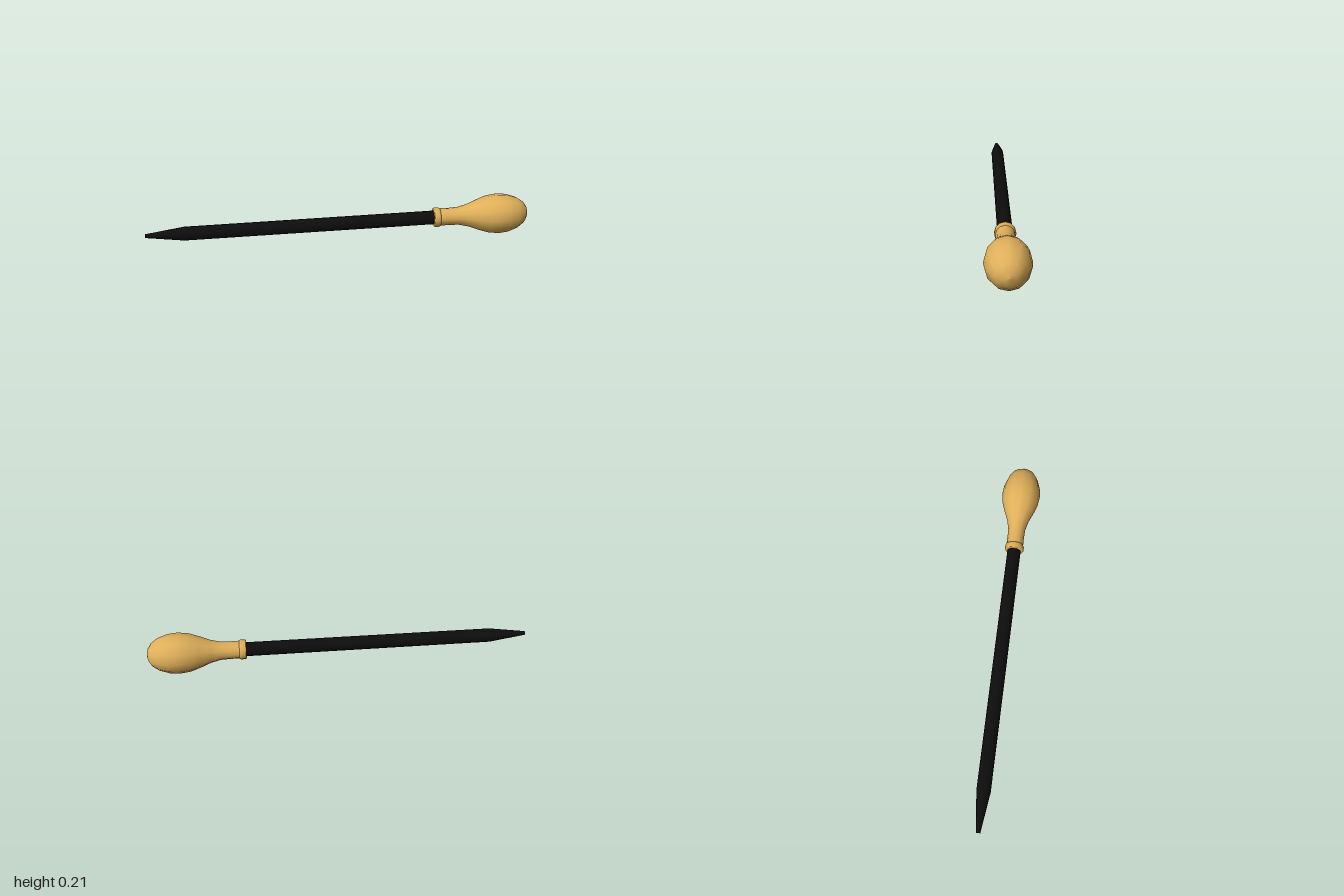
import * as THREE from 'three';

const SIDES = 12;

// Turned part: profile points are [distance along the tool, radius]
function turned(name, profile, color) {
  const points = profile.map(([along, radius]) => new THREE.Vector2(radius, along));
  const mesh = new THREE.Mesh(
    new THREE.LatheGeometry(points, SIDES),
    new THREE.MeshStandardMaterial({ color })
  );
  mesh.name = name;
  return mesh;
}

export function createModel() {
  const tool = new THREE.Group();
  tool.name = 'awl';

  // Dark rod tapering to a small blunt tip
  const shaft = turned('shaft', [
    [-1, 0], [-1, 0.01], [-0.8, 0.036], [-0.8, 0.036], [0.52, 0.036]
  ], 0x0d0d0d);

  // Collar ring where the shaft enters the handle
  const collar = turned('collar', [
    [0.5, 0], [0.5, 0.047], [0.505, 0.051], [0.528, 0.051], [0.537, 0.045], [0.537, 0]
  ], 0xe0b05a);

  // Pear-shaped wooden grip
  const handle = turned('handle', [
    [0.53, 0.046], [0.58, 0.045], [0.63, 0.047], [0.68, 0.059], [0.735, 0.081],
    [0.785, 0.098], [0.84, 0.105], [0.89, 0.1], [0.94, 0.083], [0.975, 0.058],
    [0.992, 0.03], [0.998, 0]
  ], 0xe0b05a);

  tool.add(shaft, collar, handle);

  // Lay the tool along x, resting with a slight tilt up to the handle
  tool.rotation.z = -Math.PI / 2 + 0.0385;
  tool.position.y = 0.075;

  const model = new THREE.Group();
  model.name = 'model';
  model.add(tool);
  return model;
}
